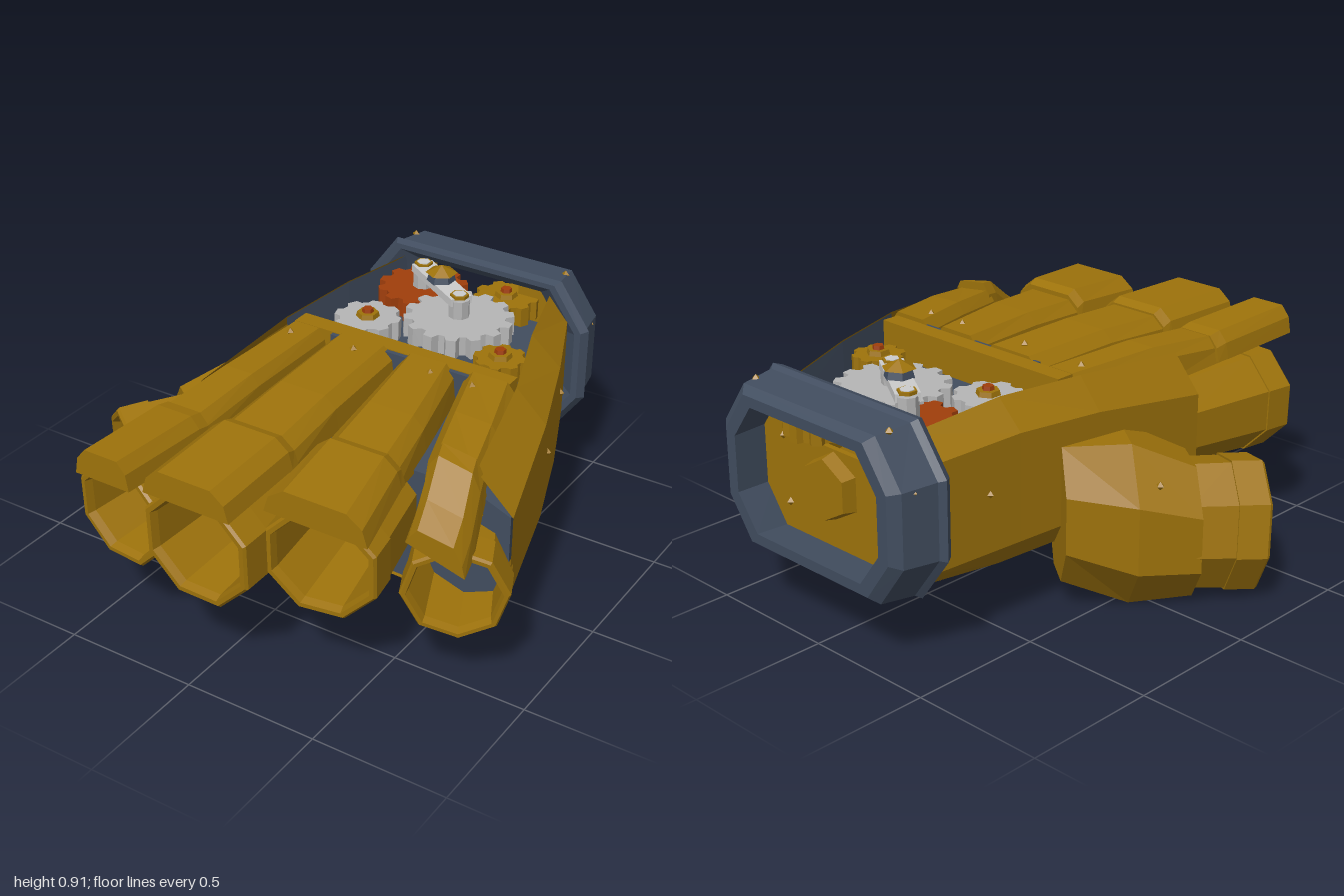
import * as THREE from 'three';

const mat = (name, color) => {
  const m = new THREE.MeshStandardMaterial({ color, flatShading: true, side: THREE.DoubleSide });
  m.name = name;
  return m;
};

// Surface through cross-section loops of equal length
function loft(rings, { closed = true, caps = true } = {}) {
  const pos = [], n = rings[0].length;
  const tri = (a, b, c) => pos.push(...a, ...b, ...c);
  for (let i = 0; i < rings.length - 1; i++) {
    const A = rings[i], B = rings[i + 1];
    for (let k = 0; k < (closed ? n : n - 1); k++) {
      const j = (k + 1) % n;
      tri(A[k], A[j], B[j]);
      tri(A[k], B[j], B[k]);
    }
  }
  const cap = (r, flip) => {
    const c = [0, 1, 2].map(d => r.reduce((s, p) => s + p[d], 0) / n);
    r.forEach((p, k) => (flip ? tri(c, r[(k + 1) % n], p) : tri(c, p, r[(k + 1) % n])));
  };
  if (closed && caps) {
    cap(rings[0], true);
    cap(rings[rings.length - 1], false);
  }
  const g = new THREE.BufferGeometry();
  g.setAttribute('position', new THREE.Float32BufferAttribute(pos, 3));
  g.computeVertexNormals();
  return g;
}

// Hand body sections: z, outer left/right, lip left/right, top, right shoulder, bottom
const SECTIONS = [
  [-0.82, -0.38, 0.43, -0.28, 0.35, 0.79, 0.71, 0.24],
  [-0.45, -0.41, 0.59, -0.31, 0.47, 0.82, 0.72, 0.21],
  [-0.1, -0.44, 0.72, -0.35, 0.6, 0.81, 0.7, 0.21],
  [0.38, -0.48, 0.86, -0.37, 0.72, 0.77, 0.64, 0.24],
];
const profile = ([z, xl, xr, li, ri, yt, y2, yb]) => [
  [li, yt, z], [xl, y2, z], [xl, 0.33, z], [xl + 0.11, yb, z], [(xl + xr) / 2, yb + 0.015, z],
  [xr - 0.14, yb, z], [xr, 0.33, z], [xr, y2, z], [ri, yt, z],
];

// Arched strap: stations of z, left, right, top, thickness, sideways drop
const strap = stations => loft(stations.map(([z, l, r, y, h, d = 0]) => {
  const w = r - l;
  return [[l, y - h, z], [l + 0.05 * w, y - 0.04, z], [l + 0.2 * w, y, z],
    [r - 0.2 * w, y - d * 0.3, z], [r - 0.05 * w, y - 0.04 - d * 0.6, z], [r, y - h - d, z]];
}));

const chamferedRing = (z, hw, hh) => {
  const cx = 0.035, cy = 0.54, a = hw * 0.26, b = hh * 0.55;
  return [[-hw, -hh + b], [-hw + a, -hh], [hw - a, -hh], [hw, -hh + b],
    [hw, hh - b], [hw - a, hh], [-hw + a, hh], [-hw, hh - b]].map(([x, y]) => [cx + x, cy + y, z]);
};

export function createModel() {
  const gold = mat('gold', 0x9e730b), slate = mat('slate', 0x414d5f);
  const grey = mat('grey metal', 0xb6b6b6), pale = mat('pale metal', 0xcccccc), rust = mat('rust', 0xa03e0b);
  const model = new THREE.Group();
  const add = (name, geo, material, x = 0, y = 0, z = 0, parent = model) => {
    const m = new THREE.Mesh(geo, material);
    m.name = name;
    m.position.set(x, y, z);
    parent.add(m);
    return m;
  };

  // Palm shell, inner core, and sunken gear bay
  add('palmShell', loft(SECTIONS.map(profile), { closed: false }), gold);
  const core = SECTIONS.slice(2).map(s => profile(s).map(([x, y, z]) =>
    [0.17 + (x - 0.17) * 0.985, Math.min(0.69, 0.5 + (y - 0.5) * 0.965), z + (z < 0 ? 0.01 : -0.005)]));
  add('palmCore', loft(core), slate);
  add('gearBay', loft(SECTIONS.slice(0, 3).map(([z, , , li, ri, yt]) =>
    [[li, yt - 0.005, z], [li + 0.005, 0.66, z], [ri - 0.005, 0.66, z], [ri, yt - 0.005, z]]), { closed: false }), slate);
  add('crossBar', new THREE.BoxGeometry(0.88, 0.13, 0.07), gold, 0.125, 0.74, -0.137);
  add('crossBarEdge', new THREE.BoxGeometry(0.7, 0.1, 0.02), slate, 0.2, 0.752, -0.095);

  // Wrist cuff
  const cuff = [[-0.84, 0.36, 0.24], [-0.79, 0.44, 0.285], [-0.79, 0.465, 0.305], [-0.82, 0.485, 0.315], [-0.84, 0.465, 0.303],
    [-0.97, 0.44, 0.292], [-1, 0.4, 0.268], [-1, 0.355, 0.23], [-0.84, 0.36, 0.24]];
  add('cuff', loft(cuff.map(c => chamferedRing(...c)), { caps: false }), slate);

  // Wrist plate with a notch in its top edge, and its hex boss
  const edge = chamferedRing(0, 0.37, 0.245).map(([x, y]) => new THREE.Vector2(x, y));
  const notch = [[0.2, 0.785], [0.2, 0.69], [0.14, 0.66], [-0.1, 0.66], [-0.17, 0.69], [-0.17, 0.785]]
    .map(([x, y]) => new THREE.Vector2(x, y));
  const plate = new THREE.Shape([...edge.slice(0, 6), ...notch, ...edge.slice(6)]);
  add('wristPlate', new THREE.ExtrudeGeometry(plate, { depth: 0.02, bevelEnabled: false }), gold, 0, 0, -0.87);
  add('wristBoss', new THREE.CylinderGeometry(0.11, 0.125, 0.06, 6).rotateX(-Math.PI / 2), gold, 0.035, 0.53, -0.89);

  // Octagonal tubes for fingers and thumb tip
  const tube = (name, from, to, r0, r1, roll = 0, sy = 1) => {
    const a = new THREE.Vector3(...from), b = new THREE.Vector3(...to), L = a.distanceTo(b);
    const k = 1 / Math.cos(Math.PI / 8);
    const pts = [[r0, 0], [r1 * 0.97, L - 0.12], [r1, L - 0.12], [r1, L - 0.01], [r1 * 0.96, L],
      [r1 * 0.88, L], [r1 * 0.84, L - 0.03], [r0 * 0.84, 0]].map(([r, y]) => new THREE.Vector2(r * k, y));
    const g = new THREE.LatheGeometry(pts, 8).rotateY(Math.PI / 8).rotateX(Math.PI / 2).rotateZ(roll).scale(1, sy, 1);
    add(name, g, gold, ...from).lookAt(b);
  };
  tube('indexTube', [-0.31, 0.5, 0.36], [-0.36, 0.485, 0.87], 0.16, 0.185);
  tube('middleTube', [0.01, 0.53, 0.36], [0, 0.515, 0.93], 0.17, 0.205);
  tube('ringTube', [0.32, 0.53, 0.36], [0.39, 0.52, 0.79], 0.17, 0.195);
  tube('littleTube', [0.63, 0.43, 0.28], [0.762, 0.415, 0.57], 0.155, 0.168, -0.3);

  // Finger straps: long back plate and raised front plate
  const straps = {
    index: [[[-0.1, -0.345, -0.175, 0.805, 0.14], [0.3, -0.37, -0.18, 0.8, 0.14], [0.62, -0.405, -0.19, 0.775, 0.09]],
      [[0.58, -0.41, -0.185, 0.78, 0.09], [0.63, -0.415, -0.185, 0.79, 0.1], [1, -0.42, -0.2, 0.8, 0.1]]],
    middle: [[[-0.1, -0.165, 0.125, 0.815, 0.15], [0.3, -0.155, 0.145, 0.81, 0.15], [0.62, -0.16, 0.165, 0.79, 0.09]],
      [[0.58, -0.165, 0.17, 0.8, 0.09], [0.62, -0.165, 0.175, 0.815, 0.1], [0.98, -0.16, 0.18, 0.805, 0.1]]],
    ring: [[[-0.1, 0.135, 0.37, 0.82, 0.15], [0.25, 0.175, 0.46, 0.81, 0.15], [0.54, 0.2, 0.52, 0.79, 0.09]],
      [[0.5, 0.195, 0.53, 0.81, 0.09], [0.54, 0.2, 0.54, 0.825, 0.1], [0.85, 0.22, 0.61, 0.8, 0.1]]],
    little: [[[-0.1, 0.385, 0.61, 0.82, 0.15], [0.15, 0.46, 0.69, 0.81, 0.14, 0.02], [0.38, 0.53, 0.75, 0.79, 0.12, 0.06]],
      [[0.36, 0.54, 0.75, 0.82, 0.09, 0.06], [0.42, 0.56, 0.77, 0.81, 0.09, 0.08], [0.54, 0.59, 0.81, 0.72, 0.08, 0.08],
        [0.63, 0.61, 0.83, 0.66, 0.06, 0.06]]],
  };
  for (const [finger, [rear, front]] of Object.entries(straps)) {
    add(finger + 'BackPlate', strap(rear), gold);
    add(finger + 'FrontPlate', strap(front), gold);
  }

  // Thumb: faceted base pod plus open tip
  const podRing = ([x, y, z, hw, hy]) => Array.from({ length: 8 }, (_, i) => {
    const t = (i + 0.5) * Math.PI / 4, k = 1 / Math.cos(Math.PI / 8);
    const u = Math.cos(t) * hw * k, v = Math.sin(t) * hy * k;
    return [x + 0.8 * u, y + v, z + 0.6 * u];
  });
  add('thumbBase', loft([[-0.37, 0.37, -0.23, 0.165, 0.25], [-0.47, 0.305, 0, 0.25, 0.3],
    [-0.63, 0.265, 0.16, 0.2, 0.245]].map(podRing)), gold);
  tube('thumbTip', [-0.6, 0.27, 0.12], [-0.765, 0.25, 0.355], 0.19, 0.2, -0.2, 1.16);

  // Palm ridges on the underside
  [
    [[0.375, 0.22, -0.565], [0.22, 0.225, -0.65], [-0.24, 0.225, -0.66]],
    [[0.48, 0.215, -0.25], [0.25, 0.22, -0.37], [-0.26, 0.215, -0.38]],
    [[0.6, 0.23, -0.08], [0.39, 0.22, -0.21], [-0.31, 0.215, -0.12]],
  ].forEach((path, i) => add('palmRidge' + (i + 1), loft(path.map(([x, y, z]) =>
    [[x, y - 0.025, z], [x, y, z + 0.03], [x, y + 0.025, z], [x, y, z - 0.03]])), gold));

  // Gears with optional hex nuts
  const gear = (name, x, z, r, teeth, material, y, nut = true) => {
    const g = new THREE.Group();
    g.name = name;
    g.position.set(x, y, z);
    model.add(g);
    const s = new THREE.Shape(), step = Math.PI * 2 / teeth;
    for (let i = 0; i < teeth; i++) {
      [[0, 0.85], [0.15, 1], [0.55, 1], [0.7, 0.85]].forEach(([f, q], j) => {
        const a = (i + f) * step;
        s[i + j ? 'lineTo' : 'moveTo'](Math.cos(a) * r * q, Math.sin(a) * r * q);
      });
    }
    s.closePath();
    add('wheel', new THREE.ExtrudeGeometry(s, { depth: 0.075, bevelEnabled: false }).rotateX(-Math.PI / 2), material, 0, 0, 0, g);
    if (!nut) return;
    add('nut', new THREE.CylinderGeometry(0.04, 0.045, 0.02, 6), gold, 0, 0.083, 0, g);
    add('pin', new THREE.CylinderGeometry(0.02, 0.024, 0.025, 6), rust, 0, 0.095, 0, g);
  };
  gear('largeGear', 0.13, -0.52, 0.205, 14, grey, 0.695, false);
  gear('rustGear', -0.12, -0.68, 0.172, 12, rust, 0.685, false);
  gear('smallGreyGear', -0.16, -0.35, 0.125, 8, grey, 0.685);
  gear('smallGoldGear', 0.405, -0.34, 0.096, 8, gold, 0.685);
  gear('rearGoldGear', 0.17, -0.81, 0.125, 9, gold, 0.665);

  // Link arm joining the two main gears, with peaked cap
  const link = add('linkArm', new THREE.BoxGeometry(0.33, 0.03, 0.085), pale, 0.005, 0.835, -0.6);
  link.rotation.y = -Math.atan2(0.16, 0.25);
  for (const [x, z] of [[-0.12, -0.68], [0.13, -0.52]]) {
    add('linkPost', new THREE.CylinderGeometry(0.04, 0.04, 0.1, 8), grey, x, 0.79, z);
    add('linkNut', new THREE.CylinderGeometry(0.035, 0.035, 0.012, 6), gold, x, 0.852, z);
    add('linkPin', new THREE.CylinderGeometry(0.026, 0.026, 0.016, 6), pale, x, 0.853, z);
  }
  add('capCollar', new THREE.CylinderGeometry(0.045, 0.055, 0.035, 6), slate, 0.005, 0.865, -0.6);
  add('capPeak', new THREE.ConeGeometry(0.06, 0.03, 6), gold, 0.005, 0.895, -0.6);

  // Small studs
  const studs = [[-0.28, 0.805, -0.02], [-0.01, 0.815, -0.02], [0.305, 0.815, -0.02], [0.47, 0.815, -0.02],
    [0.682, 0.53, -0.2], [0.535, 0.54, -0.58], [-0.43, 0.53, -0.2], [-0.397, 0.54, -0.58],
    [-0.3, 0.835, -0.92], [0.36, 0.835, -0.92], [-0.405, 0.66, -0.92], [0.475, 0.66, -0.92],
    [-0.27, 0.25, -0.92], [0.36, 0.25, -0.92], [-0.2, 0.4, -0.872], [0.27, 0.4, -0.872],
    [-0.23, 0.64, -0.872], [0.29, 0.64, -0.872], [-0.68, 0.49, -0.06], [-0.62, 0.42, 0.33]];
  for (const p of studs) add('stud', new THREE.OctahedronGeometry(0.016), gold, ...p);

  return model;
}
